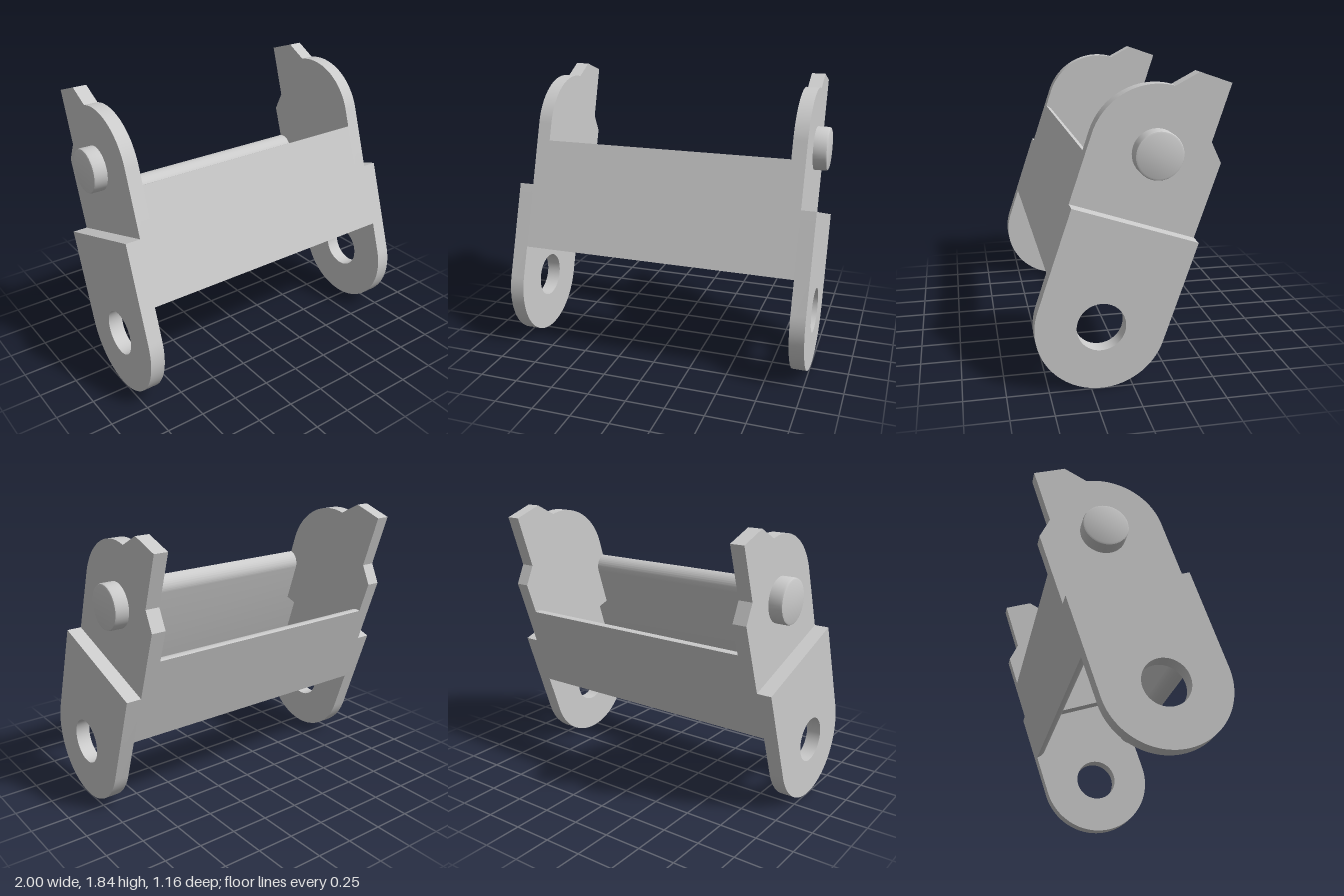
import * as THREE from 'three';
import { toCreasedNormals } from 'three/addons/utils/BufferGeometryUtils.js';

const R = 0.39;        // half width of the link
const PIN_V = 1.05;    // distance from lower hole to upper pin
const STEP_V = 0.633;  // where the outer lower plate ends
const X_IN = 0.815, X_MID = 0.905, X_OUT = 1.0;

export function createModel() {
  const model = new THREE.Group();
  model.name = 'hingeLink';
  const material = new THREE.MeshStandardMaterial({ color: 0xcccccc });

  // Local frame: profile drawn in (u, v) = (depth, length), extruded across x
  const link = new THREE.Group();
  link.name = 'link';
  link.position.set(0, 0.39, 0.19);
  link.rotation.x = -0.3217;
  model.add(link);

  function addProfile(name, shape, x0, x1) {
    let geo = new THREE.ExtrudeGeometry(shape, { depth: x1 - x0, bevelEnabled: false, curveSegments: 24 });
    geo.rotateY(-Math.PI / 2);
    geo.translate(x1, 0, 0);
    geo = toCreasedNormals(geo, 0.5);
    const mesh = new THREE.Mesh(geo, material);
    mesh.name = name;
    link.add(mesh);
  }

  // Lower plate: rounded bottom with a round hole
  const lower = new THREE.Shape();
  lower.moveTo(R, STEP_V);
  lower.lineTo(-R, STEP_V);
  lower.lineTo(-R, 0);
  lower.absarc(0, 0, R, Math.PI, Math.PI * 2, false);
  lower.closePath();
  const hole = new THREE.Path();
  hole.absarc(0, 0, 0.146, 0, Math.PI * 2, true);
  lower.holes.push(hole);

  // Upper plate: rounded front shoulder, stop tooth and notch at the back
  const upper = new THREE.Shape();
  upper.moveTo(-R, 0.58);
  upper.lineTo(R, 0.58);
  upper.lineTo(R, PIN_V);
  upper.absarc(0, PIN_V, R, 0, 1.52, false);
  upper.lineTo(-0.089, 1.553);
  upper.lineTo(-0.29, 1.551);
  upper.lineTo(-0.294, 1.2);
  upper.lineTo(-R, 1.1);
  upper.closePath();

  // Pin stub with a slightly rounded end
  const r = 0.142, len = X_OUT - X_MID - 0.005;
  const pinProfile = [[0, -0.02], [r, -0.02], [r, len - 0.014], [r - 0.004, len - 0.004], [r - 0.014, len], [0, len]]
    .map(([a, b]) => new THREE.Vector2(a, b));
  const pinGeo = toCreasedNormals(new THREE.LatheGeometry(pinProfile, 40), 0.5);

  for (const [side, s] of [['left', 1], ['right', -1]]) {
    const span = (a, b) => (s > 0 ? [a, b] : [-b, -a]);
    addProfile(side + 'LowerPlate', lower, ...span(X_MID, X_OUT));
    addProfile(side + 'UpperPlate', upper, ...span(X_IN, X_MID));
    const pin = new THREE.Mesh(pinGeo, material);
    pin.name = side + 'Pin';
    pin.position.set(s * X_MID, PIN_V, 0);
    pin.rotation.z = -s * Math.PI / 2;
    link.add(pin);
  }

  // Cross plates: flat outside, both inner edges fully rounded
  function crossPlate(name, s, v0, v1) {
    const t = 0.089;
    const shape = new THREE.Shape();
    const o = s * R;
    shape.moveTo(o, v0);
    shape.lineTo(o, v1);
    if (s > 0) {
      shape.absarc(o, v1 - t, t, Math.PI / 2, Math.PI, false);
      shape.absarc(o, v0 + t, t, Math.PI, Math.PI * 1.5, false);
    } else {
      shape.absarc(o, v1 - t, t, Math.PI / 2, 0, true);
      shape.absarc(o, v0 + t, t, 0, -Math.PI / 2, true);
    }
    addProfile(name, shape, -X_MID, X_MID);
  }
  crossPlate('frontCrossPlate', 1, 0.21, 0.935);
  crossPlate('backCrossPlate', -1, 0.288, 0.887);

  return model;
}
